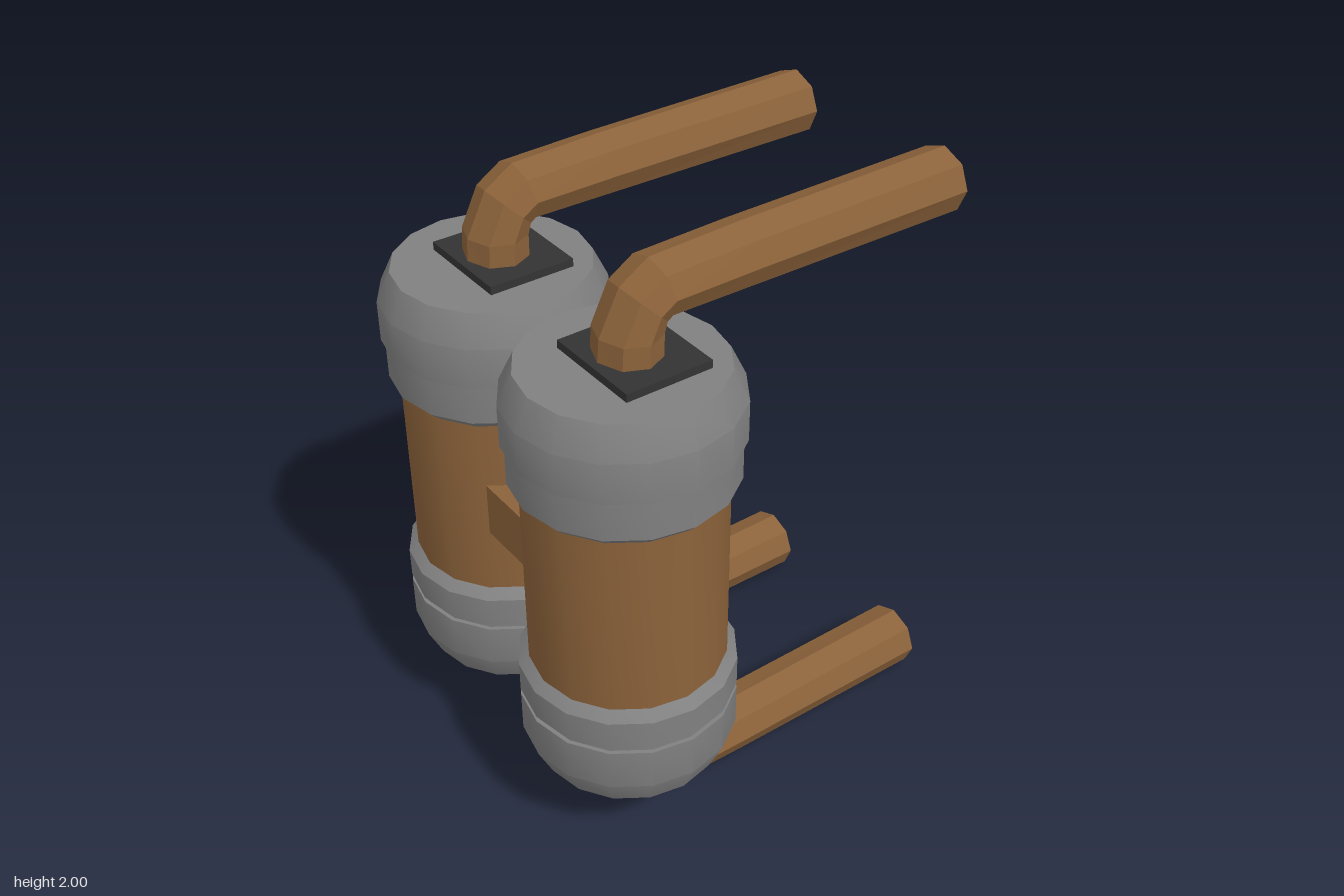
import * as THREE from 'three';
import { toCreasedNormals } from 'three/addons/utils/BufferGeometryUtils.js';

const brown = new THREE.MeshStandardMaterial({ name: 'copperBrown', color: 0x8b623a, side: THREE.DoubleSide });
const grey = new THREE.MeshStandardMaterial({ name: 'steelGrey', color: 0x808080 });
const dark = new THREE.MeshStandardMaterial({ name: 'darkPlate', color: 0x333333 });

const TANK_X = 0.335, TANK_Z = 0.395;

function add(parent, name, geometry, material, x = 0, y = 0, z = 0) {
  const mesh = new THREE.Mesh(geometry, material);
  mesh.name = name;
  mesh.position.set(x, y, z);
  parent.add(mesh);
}

// 16-sided turned part, smooth around and sharp at strong profile edges
function turned(profile) {
  const points = profile.map(([r, y]) => new THREE.Vector2(r, y));
  return toCreasedNormals(new THREE.LatheGeometry(points, 16), 0.5);
}

// Open octagonal elbow pipe: each section is [outer z, outer y, inner z, inner y]
function elbowPipe(sections, halfWidth) {
  const SIDES = 8, pos = [], index = [];
  for (const [oz, oy, iz, iy] of sections) {
    for (let k = 0; k < SIDES; k++) {
      const a = (k / SIDES) * Math.PI * 2, t = (1 + Math.cos(a)) / 2;
      pos.push(Math.sin(a) * halfWidth, iy + (oy - iy) * t, iz + (oz - iz) * t);
    }
  }
  for (let s = 0; s < sections.length - 1; s++) {
    for (let k = 0; k < SIDES; k++) {
      const a = s * SIDES + k, b = s * SIDES + (k + 1) % SIDES;
      index.push(a, b, a + SIDES, b, b + SIDES, a + SIDES);
    }
  }
  const g = new THREE.BufferGeometry();
  g.setAttribute('position', new THREE.Float32BufferAttribute(pos, 3));
  g.setIndex(index);
  const flat = g.toNonIndexed();
  flat.computeVertexNormals();
  return flat;
}

export function createModel() {
  const model = new THREE.Group();
  model.name = 'twinTanks';

  const body = turned([[0.303, 0.66], [0.303, 1.34]]);
  const upperBand = turned([[0.3, 1.305], [0.335, 1.34], [0.335, 1.475]]);
  const upperCap = turned([[0.3, 1.47], [0.347, 1.47], [0.347, 1.6], [0.302, 1.695], [0, 1.695]]);
  const lowerBand = turned([[0.315, 0.56], [0.335, 0.56], [0.335, 0.66], [0.3, 0.692]]);
  const groove = turned([[0.322, 0.53], [0.322, 0.57]]);
  const lowerCap = turned([[0, 0.3], [0.288, 0.3], [0.335, 0.4], [0.335, 0.54], [0.315, 0.54]]);
  const plate = new THREE.BoxGeometry(0.327, 0.03, 0.28);

  const upperPath = [
    [0.48, 1.7, 0.285, 1.7],
    [0.473, 1.79, 0.285, 1.79],
    [0.405, 1.925, 0.285, 1.805],
    [0.31, 1.985, 0.28, 1.81],
    [0, 1.995, 0, 1.805],
    [-0.745, 2, -0.745, 1.795],
  ];
  const lowerPath = upperPath.map(([oz, oy, iz, iy]) => [oz, 2.005 - oy, iz, 2.005 - iy]).reverse();
  const upperPipe = elbowPipe(upperPath, 0.108);
  const lowerPipe = elbowPipe(lowerPath, 0.108);

  for (const side of [-1, 1]) {
    const tank = new THREE.Group();
    tank.name = side > 0 ? 'leftTank' : 'rightTank';
    tank.position.x = side * TANK_X;
    model.add(tank);

    add(tank, 'tankBody', body, brown, 0, 0, TANK_Z);
    add(tank, 'upperBand', upperBand, grey, 0, 0, TANK_Z);
    add(tank, 'upperCap', upperCap, grey, 0, 0, TANK_Z);
    add(tank, 'lowerBand', lowerBand, grey, 0, 0, TANK_Z);
    add(tank, 'lowerGroove', groove, grey, 0, 0, TANK_Z);
    add(tank, 'lowerCap', lowerCap, grey, 0, 0, TANK_Z);

    // Square flanges and elbow pipes, slightly offset from the tank axis
    add(tank, 'upperFlange', plate, dark, 0.008, 1.706, 0.362);
    add(tank, 'lowerFlange', plate, dark, -0.01, 0.3, 0.362);
    add(tank, 'upperPipe', upperPipe, brown, 0.003, 0, 0);
    add(tank, 'lowerPipe', lowerPipe, brown, -0.007, 0, 0);
  }

  // Block joining the two tanks
  add(model, 'connector', new THREE.BoxGeometry(0.226, 0.18, 0.4), brown, 0, 1, TANK_Z);
  return model;
}
